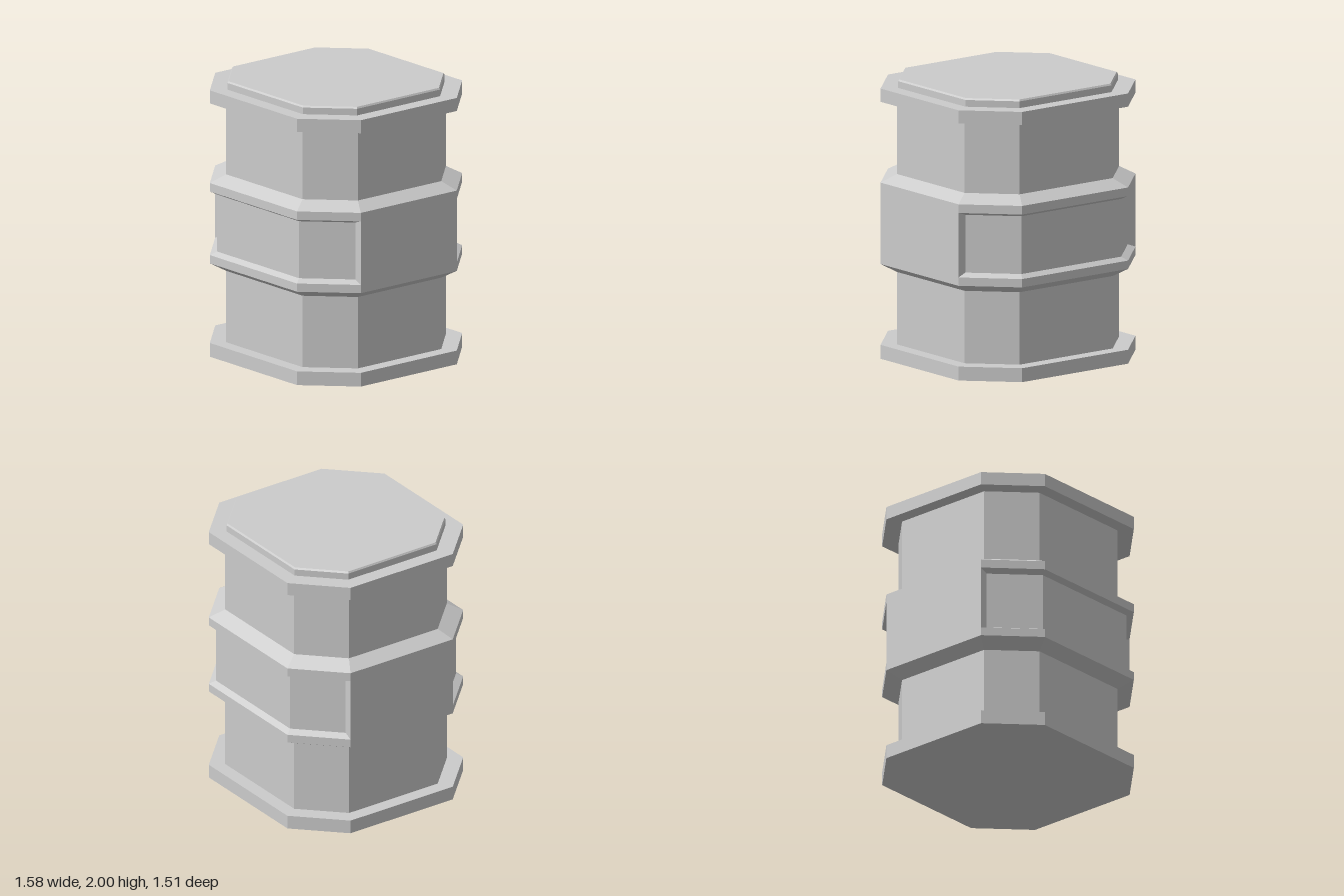
import * as THREE from 'three';

// Quarter outlines as [x, z], running from the side face to the front face
const OUTER = [[0.79, 0.44], [0.79, 0.44], [0.473, 0.757]];
const BODY = [[0.69, 0.382], [0.69, 0.382], [0.415, 0.657]];
const LID = [[0.68, 0.38], [0.68, 0.38], [0.41, 0.65]];
const LID_TOP = [[0.672, 0.376], [0.672, 0.376], [0.406, 0.642]];
const RECESS = [[0.79, 0.44], [0.725, 0.435], [0.445, 0.715]];

// Mirror a quarter outline into a full ring at height y
function ring(y, quarter) {
  const back = [...quarter].reverse();
  return [
    ...quarter.map(([x, z]) => [x, y, z]),
    ...back.map(([x, z]) => [-x, y, z]),
    ...quarter.map(([x, z]) => [-x, y, -z]),
    ...back.map(([x, z]) => [x, y, -z]),
  ];
}

// Closed loft through [height, outline] levels, bottom to top
function loft(name, levels, material) {
  const rings = levels.map(([y, quarter]) => ring(y, quarter));
  const positions = [];
  const same = (p, q) => p.every((v, k) => Math.abs(v - q[k]) < 1e-6);
  const tri = (a, b, c) => {
    if (!same(a, b) && !same(b, c) && !same(a, c)) positions.push(...a, ...b, ...c);
  };
  const n = rings[0].length;
  const top = rings[rings.length - 1];
  for (let i = 0; i < n; i++) {
    const j = (i + 1) % n;
    for (let r = 0; r < rings.length - 1; r++) {
      const lo = rings[r], hi = rings[r + 1];
      tri(lo[i], hi[i], lo[j]);
      tri(hi[i], hi[j], lo[j]);
    }
    tri([0, levels[0][0], 0], rings[0][i], rings[0][j]);
    tri([0, levels[levels.length - 1][0], 0], top[j], top[i]);
  }
  const geometry = new THREE.BufferGeometry();
  geometry.setAttribute('position', new THREE.Float32BufferAttribute(positions, 3));
  geometry.computeVertexNormals();
  const mesh = new THREE.Mesh(geometry, material);
  mesh.name = name;
  return mesh;
}

export function createModel() {
  const group = new THREE.Group();
  group.name = 'octagonalCanister';
  const grey = new THREE.MeshStandardMaterial({ color: 0xcccccc, flatShading: true });

  group.add(
    loft('baseFlange', [[0, OUTER], [0.1, OUTER]], grey),
    loft('lowerBody', [[0.1, BODY], [0.62, BODY]], grey),
    // Flared belt: recessed at the front, back and corners, full width at the sides
    loft('middleBelt', [
      [0.62, BODY], [0.68, OUTER], [0.74, OUTER], [0.765, RECESS],
      [1.18, RECESS], [1.203, OUTER], [1.265, OUTER], [1.323, BODY],
    ], grey),
    loft('upperBody', [[1.323, BODY], [1.845, BODY]], grey),
    loft('topFlange', [[1.845, OUTER], [1.94, OUTER]], grey),
    loft('lid', [[1.94, LID], [1.988, LID], [2, LID_TOP]], grey),
  );
  return group;
}
